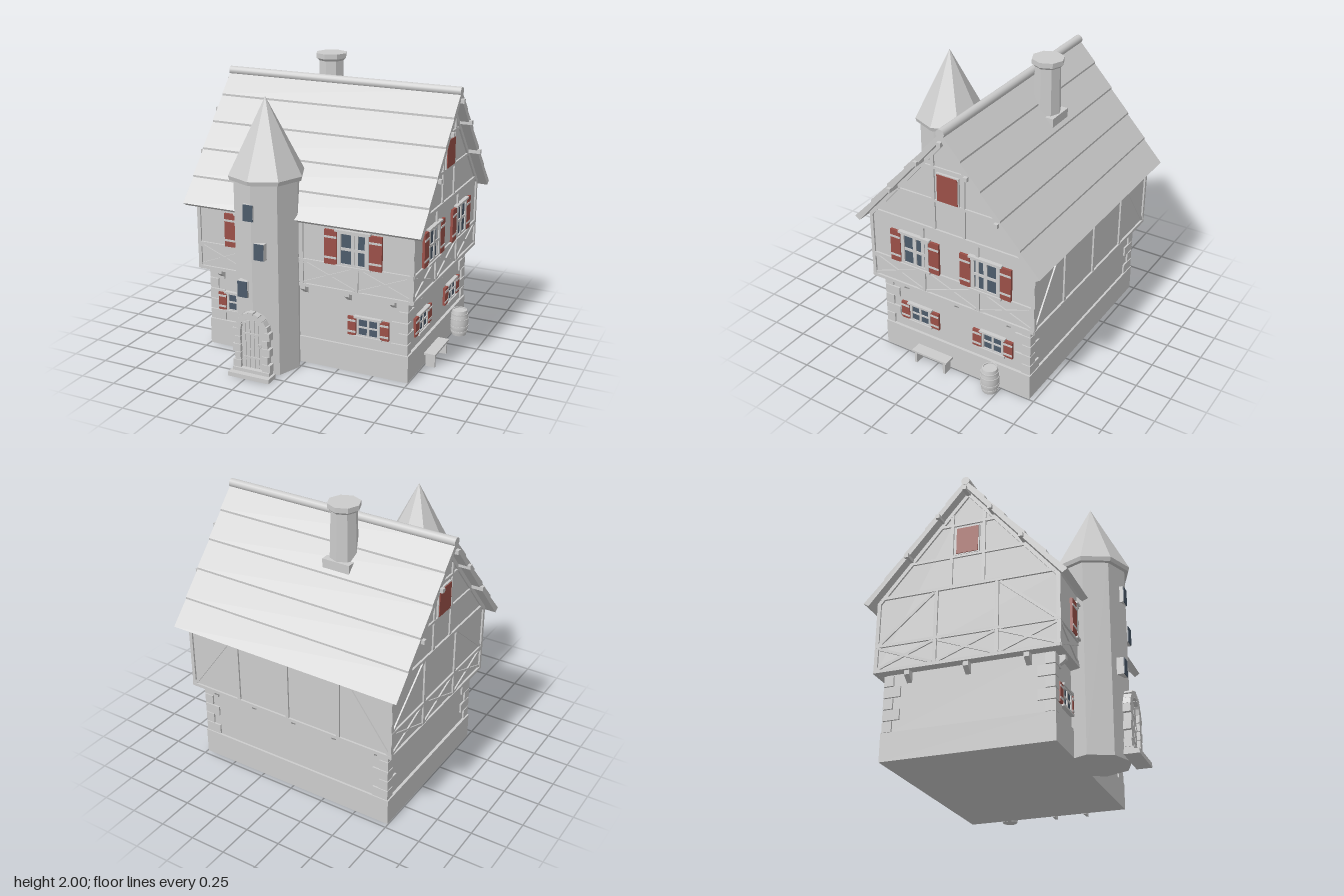
import * as THREE from 'three';
import { toCreasedNormals } from 'three/addons/utils/BufferGeometryUtils.js';

const paint = (name, color) => {
  const m = new THREE.MeshStandardMaterial({ color });
  m.name = name;
  return m;
};
const stone = paint('pale grey', 0xcccccc);
const red = paint('shutter red', 0x9b5048);
const glass = paint('window blue', 0x4c5b6b);

const CZ = -0.14; // depth position of the ridge

function add(parent, name, geo, x = 0, y = 0, z = 0, mat = stone) {
  const m = new THREE.Mesh(geo, mat);
  m.name = name;
  m.position.set(x, y, z);
  parent.add(m);
  return m;
}
const box = (parent, name, w, h, d, x, y, z, mat) =>
  add(parent, name, new THREE.BoxGeometry(w, h, d), x, y, z, mat);

// Beam between two points on a wall whose surface is local z = 0
function beam(wall, name, u1, v1, u2, v2, width = 0.022, depth = 0.012) {
  const len = Math.hypot(u2 - u1, v2 - v1);
  const m = box(wall, name, len, width, depth * 2, (u1 + u2) / 2, (v1 + v2) / 2, 0);
  m.rotation.z = Math.atan2(v2 - v1, u2 - u1);
}

const polygon = pts => new THREE.Shape(pts.map(p => new THREE.Vector2(p[0], p[1])));
const extrude = (shape, depth) =>
  new THREE.ExtrudeGeometry(shape, { depth, bevelEnabled: false, curveSegments: 8 });

// Profile in depth and height, drawn out along x and centred
const alongX = (pts, length) =>
  extrude(polygon(pts), length).translate(0, 0, -length / 2).rotateY(-Math.PI / 2);

// Flat-faced eight-sided prism or cone with a corner facing forward
function octagon(rTop, rBottom, h) {
  const g = new THREE.CylinderGeometry(rTop, rBottom, h, 8).toNonIndexed();
  g.computeVertexNormals();
  return g;
}

// Group whose local x runs along the wall and local z points outward
function wallFrame(parent, name, angle, halfX, halfZ) {
  const g = new THREE.Group();
  g.name = name;
  const s = Math.round(Math.sin(angle)), c = Math.round(Math.cos(angle));
  g.position.set(s * halfX, 0, CZ + c * halfZ);
  g.rotation.y = angle;
  parent.add(g);
  return g;
}

// Four-pane window with sill, lintel and a pair of shutters
function windowUnit(wall, u, v, w, h, shutterW) {
  const g = new THREE.Group();
  g.name = 'window';
  g.position.set(u, v, 0);
  wall.add(g);
  const t = h > 0.18 ? 0.026 : 0.016;
  box(g, 'glass', w, h, 0.008, 0, 0, 0.005, glass);
  for (const s of [-1, 1]) {
    box(g, 'frameSide', t, h, 0.018, s * (w / 2 - t / 2), 0, 0.009);
    box(g, 'frameRail', w, t * 0.6, 0.018, 0, s * (h / 2 - t * 0.3), 0.009);
    box(g, s > 0 ? 'lintel' : 'sill', w + 0.03, 0.014, 0.03, 0, s * (h / 2 + 0.004), 0.013);
    const su = s * (w / 2 + shutterW / 2 + 0.004);
    box(g, 'shutter', shutterW, h, 0.018, su, 0, 0.01, red);
    for (const k of [-1, 1]) box(g, 'shutterBatten', shutterW, 0.014, 0.006, su, k * h * 0.3, 0.02);
  }
  box(g, 'mullion', t, h, 0.016, 0, 0, 0.008);
  box(g, 'transom', w, t * 0.7, 0.016, 0, -0.0, 0.0085);
}

// Timber frame of the upper storey on one wall
function timberFrame(wall, half, bays, crossed, braced) {
  const step = (2 * half) / bays;
  beam(wall, 'sillBeam', -half, 0.59, half, 0.59, 0.022, 0.014);
  beam(wall, 'topPlate', -half, 1.105, half, 1.105, 0.022, 0.014);
  if (crossed) beam(wall, 'middleRail', -half, 0.765, half, 0.765, 0.02, 0.013);
  for (let i = 0; i <= bays; i++) {
    const u = THREE.MathUtils.clamp(-half + i * step, -half + 0.012, half - 0.012);
    beam(wall, 'post', u, 0.585, u, 1.11, 0.024, 0.012);
    if (crossed && i < bays) {
      const a = -half + i * step + 0.015, b = a + step - 0.03;
      beam(wall, 'crossBrace', a, 0.605, b, 0.752, 0.018, 0.01);
      beam(wall, 'crossBrace', a, 0.752, b, 0.605, 0.018, 0.0095);
    }
  }
  if (braced) for (const s of [-1, 1])
    beam(wall, 'cornerBrace', s * (half - 0.02), crossed ? 0.77 : 0.6, s * (half - step + 0.02), 1.09, 0.02, 0.01);
}

// Gable timbers, attic shutter and rafters
function gable(wall) {
  beam(wall, 'collarBeam', -0.42, 1.325, 0.42, 1.325, 0.018);
  beam(wall, 'collarBeam', -0.21, 1.56, 0.21, 1.56, 0.018);
  for (const s of [-1, 1]) {
    beam(wall, 'gablePost', s * 0.112, 1.11, s * 0.112, 1.66, 0.022, 0.011);
    beam(wall, 'rafter', s * 0.62, 1.065, 0, 1.785, 0.03, 0.013);
  }
  box(wall, 'atticShutterFrame', 0.165, 0.2, 0.02, 0, 1.432, 0.005);
  box(wall, 'atticShutter', 0.15, 0.185, 0.009, 0, 1.432, 0.016, red);
}

function brackets(wall, positions) {
  const geo = alongX([[0, 0.51], [0.05, 0.55], [0.05, 0.585], [0, 0.585]], 0.035);
  for (const u of positions) add(wall, 'jettyBracket', geo, u);
}

function roof(house) {
  // Stepped profile of five overlapping courses on each slope
  const courses = 5, reach = 0.695, line = d => 1.85 - 1.16 * d;
  const half = [];
  for (let i = 0; i < courses; i++) {
    const a = (i * reach) / courses, b = ((i + 1) * reach) / courses;
    half.push([a, line(a)], [b, line(b) + 0.014]);
  }
  half.push([0.66, line(0.66) - 0.05]);
  const mirrored = half.slice(1).reverse().map(([d, y]) => [-d, y]);
  const profile = [...half, [0, line(0) - 0.05], ...mirrored];
  add(house, 'roof', alongX(profile, 1.71), 0, 0, CZ);
  const cap = add(house, 'ridgeCap', new THREE.CylinderGeometry(0.03, 0.03, 1.715, 16), 0, 1.845, CZ);
  cap.rotation.z = Math.PI / 2;
  for (const [d, y] of [[0, 1.782], [0.182, 1.6], [-0.182, 1.6], [0.395, 1.348], [-0.395, 1.348]])
    box(house, 'purlin', 1.755, 0.028, 0.028, 0, y, CZ + d);
}

function tower(house) {
  const g = new THREE.Group();
  g.name = 'stairTower';
  g.position.set(-0.225, 0, 0.525);
  house.add(g);
  add(g, 'towerWall', octagon(0.222, 0.222, 1.34), 0, 0.67, 0);
  add(g, 'towerEave', octagon(0.257, 0.25, 0.028), 0, 1.334, 0);
  add(g, 'towerRoof', octagon(0, 0.257, 0.498), 0, 1.597, 0);
  for (const [u, v] of [[-0.02, 1.13], [0.053, 0.875], [-0.074, 0.6]]) {
    box(g, 'towerWindowFrame', 0.074, 0.114, 0.05, u, v, 0.197);
    box(g, 'towerWindow', 0.07, 0.11, 0.008, u, v, 0.224, glass);
  }
  // Arched door with planks, hinges and handle
  const arch = new THREE.Shape();
  arch.moveTo(-0.082, 0.05);
  arch.lineTo(0.082, 0.05);
  arch.lineTo(0.082, 0.335);
  arch.absarc(0, 0.335, 0.082, 0, Math.PI, false);
  add(g, 'door', extrude(arch, 0.022), 0, 0, 0.21);
  for (let i = -2; i <= 2; i++)
    box(g, 'doorPlank', 0.028, 0.35 - Math.abs(i) * 0.012, 0.008, i * 0.0325, 0.226 - Math.abs(i) * 0.006, 0.234);
  for (const v of [0.13, 0.3]) box(g, 'doorHinge', 0.13, 0.012, 0.006, -0.01, v, 0.24);
  const ring = add(g, 'doorHandle', new THREE.TorusGeometry(0.012, 0.003, 6, 14), 0.055, 0.225, 0.243);
  ring.scale.y = 1.2;
  // Surround of jamb blocks and arch stones
  for (const s of [-1, 1]) for (let i = 0; i < 5; i++) {
    const w = i % 2 ? 0.042 : 0.058;
    box(g, 'jambStone', w, 0.053, 0.05, s * (0.08 + w / 2), 0.078 + i * 0.057, 0.235);
  }
  for (let i = 0; i < 9; i++) {
    const a = (Math.PI * (i + 0.5)) / 9;
    const m = box(g, 'archStone', i % 2 ? 0.038 : 0.05, 0.037, 0.05, Math.cos(a) * 0.1, 0.335 + Math.sin(a) * 0.1, 0.235);
    m.rotation.z = a;
  }
  box(g, 'lowerStep', 0.304, 0.03, 0.1, 0, 0.015, 0.26);
  box(g, 'upperStep', 0.27, 0.024, 0.06, 0, 0.042, 0.24);
}

function chimney(house) {
  const g = new THREE.Group();
  g.name = 'chimney';
  g.position.set(-0.147, 0, -0.295);
  house.add(g);
  box(g, 'chimneyBase', 0.2, 0.13, 0.205, 0, 1.56, 0);
  add(g, 'chimneyShaft', octagon(0.086, 0.095, 0.36), 0, 1.79, 0);
  add(g, 'chimneyCollar', octagon(0.106, 0.09, 0.018), 0, 1.958, 0);
  add(g, 'chimneyCap', octagon(0.109, 0.109, 0.034), 0, 1.983, 0);
}

function yardThings(house) {
  // Bulging barrel with hoops
  const pts = [[0, 0], [0.052, 0], [0.06, 0.04], [0.065, 0.095], [0.06, 0.15], [0.052, 0.19], [0.046, 0.19], [0.046, 0.182], [0, 0.182]];
  const lathe = new THREE.LatheGeometry(pts.map(p => new THREE.Vector2(p[0], p[1])), 16);
  add(house, 'barrel', toCreasedNormals(lathe, 0.6), 0.8, 0, -0.445);
  for (const [y, r] of [[0.03, 0.061], [0.067, 0.066], [0.123, 0.066], [0.16, 0.061]])
    add(house, 'barrelHoop', new THREE.CylinderGeometry(r, r, 0.012, 16), 0.8, y, -0.445);
  // Bench against the side wall
  box(house, 'benchSeat', 0.08, 0.014, 0.28, 0.795, 0.094, 0.02);
  for (const z of [-0.095, 0.135]) box(house, 'benchLeg', 0.066, 0.09, 0.018, 0.795, 0.045, z);
}

export function createModel() {
  const house = new THREE.Group();
  house.name = 'timberHouse';

  // Main masses
  box(house, 'plinth', 1.49, 0.188, 1.15, 0, 0.094, CZ);
  box(house, 'groundFloorWall', 1.45, 0.41, 1.12, 0, 0.385, CZ);
  const section = [[-0.615, 0.58], [0.615, 0.58], [0.615, 1.085], [0, 1.795], [-0.615, 1.085]];
  add(house, 'upperWall', alongX(section, 1.56), 0, 0, CZ);

  // Alternating corner stones
  for (const sx of [-1, 1]) for (const sz of [-1, 1]) for (let i = 0; i < 5; i++) {
    const w = i % 2 ? 0.065 : 0.115, d = i % 2 ? 0.115 : 0.065;
    box(house, 'cornerStone', w, 0.07, d, sx * (0.738 - w / 2), 0.228 + i * 0.077, CZ + sz * (0.572 - d / 2));
  }

  // Walls: front, right gable, back, left gable
  const sides = ['front', 'rightGable', 'back', 'leftGable'];
  sides.forEach((name, i) => {
    const angle = (i * Math.PI) / 2, isGable = i % 2 === 1;
    const upper = wallFrame(house, name + 'UpperWall', angle, 0.78, 0.615);
    const lower = wallFrame(house, name + 'LowerWall', angle, 0.725, 0.56);
    timberFrame(upper, isGable ? 0.625 : 0.79, isGable ? 3 : 4, i !== 2, i > 1);
    brackets(lower, isGable ? [-0.4, 0, 0.4] : [-0.64, -0.32, 0, 0.32, 0.64]);
    if (isGable) gable(upper);
    if (i === 0) {
      for (const u of [-0.372, 0.372]) windowUnit(upper, u, 0.888, 0.22, 0.235, 0.088);
      for (const u of [-0.525, 0.46]) windowUnit(lower, u, 0.337, 0.165, 0.13, 0.06);
    }
    if (i === 1) for (const s of [-1, 1]) {
      windowUnit(upper, s * 0.27, 0.888, 0.215, 0.235, 0.078);
      windowUnit(lower, s * 0.288, 0.337, 0.165, 0.13, 0.066);
    }
  });

  roof(house);
  tower(house);
  chimney(house);
  yardThings(house);
  return house;
}
